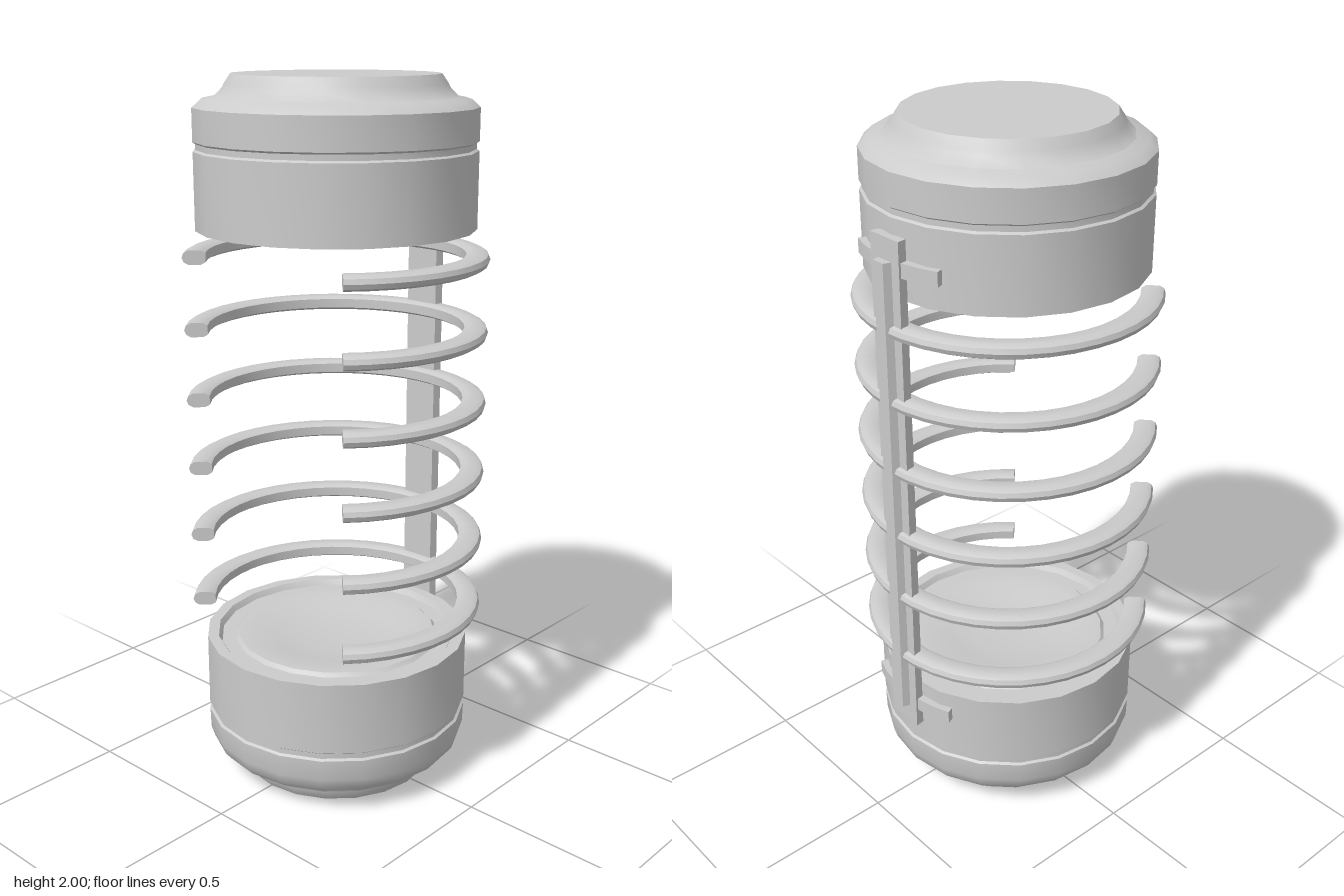
import * as THREE from 'three';
import { toCreasedNormals } from 'three/addons/utils/BufferGeometryUtils.js';

const solid = new THREE.MeshStandardMaterial({ color: 0xcccccc });
const twoSided = new THREE.MeshStandardMaterial({ color: 0xcccccc, side: THREE.DoubleSide });
const CENTRE_Z = 0.02;

const toPoints = (pairs) => pairs.map(([x, y]) => new THREE.Vector2(x, y));

function addMesh(parent, name, geometry, material = solid) {
  const mesh = new THREE.Mesh(toCreasedNormals(geometry, 0.6), material);
  mesh.name = name;
  parent.add(mesh);
  return mesh;
}

// Sweep a closed (radius, height) section along an arc centred on the back
function arcBar(name, section, halfAngle, segments) {
  const bar = new THREE.Group();
  bar.name = name;
  const points = toPoints(section);
  const start = Math.PI - halfAngle;
  const end = Math.PI + halfAngle;
  addMesh(bar, name + 'Body',
    new THREE.LatheGeometry([...points, points[0].clone()], segments, start, end - start), twoSided);
  for (const angle of [start, end]) {
    const cap = new THREE.ShapeGeometry(new THREE.Shape(points));
    cap.rotateY(angle - Math.PI / 2);
    addMesh(bar, name + 'End', cap, twoSided);
  }
  return bar;
}

// Extrude an (x, -z) section upright between two heights
function uprightBar(parent, name, section, y0, y1) {
  const geometry = new THREE.ExtrudeGeometry(new THREE.Shape(toPoints(section)),
    { depth: y1 - y0, bevelEnabled: false });
  geometry.rotateX(-Math.PI / 2);
  geometry.translate(0, y0, 0);
  return addMesh(parent, name, geometry);
}

export function createModel() {
  const model = new THREE.Group();
  model.name = 'ribbedCanister';
  const core = new THREE.Group();
  core.name = 'roundParts';
  core.position.z = CENTRE_Z;
  model.add(core);

  // Bottom cap: rounded foot, groove, and a stepped shallow dish on top
  addMesh(core, 'bottomCap', new THREE.LatheGeometry(toPoints([
    [0, 0], [0.28, 0], [0.297, 0.025], [0.3, 0.04], [0.325, 0.05], [0.335, 0.07],
    [0.355, 0.072], [0.37, 0.09], [0.38, 0.12], [0.382, 0.18],
    [0.375, 0.185], [0.375, 0.2], [0.382, 0.205], [0.382, 0.412],
    [0.35, 0.412], [0.34, 0.395], [0.3, 0.395], [0.29, 0.405], [0.245, 0.405],
    [0.18, 0.39], [0.1, 0.382], [0, 0.38],
  ]), 20));

  // Top cap: dished underside, groove, and a stepped lid
  addMesh(core, 'topCap', new THREE.LatheGeometry(toPoints([
    [0, 1.63], [0.1, 1.628], [0.18, 1.62], [0.245, 1.603], [0.29, 1.603],
    [0.3, 1.613], [0.34, 1.613], [0.35, 1.596], [0.382, 1.596],
    [0.382, 1.803], [0.375, 1.808], [0.375, 1.823], [0.382, 1.828],
    [0.382, 1.915], [0.36, 1.935], [0.325, 1.942], [0.302, 1.965],
    [0.297, 1.975], [0.28, 2], [0, 2],
  ]), 20));

  // Six open rings, each with its gap at the front
  const ringSection = [
    [0.355, -0.013], [0.368, -0.02], [0.402, -0.02], [0.415, -0.013], [0.42, 0],
    [0.415, 0.013], [0.402, 0.02], [0.368, 0.02], [0.355, 0.013],
  ];
  for (let i = 0; i < 6; i++) {
    const ring = arcBar('ring', ringSection, Math.PI * 0.75, 30);
    ring.position.y = 0.508 + i * 0.2015;
    core.add(ring);
  }

  // Curved brackets that hold the spine against the caps
  const bracketSection = [[0.372, -0.02], [0.4, -0.02], [0.4, 0.02], [0.372, 0.02]];
  for (const y of [0.345, 1.685]) {
    const bracket = arcBar('spineBracket', bracketSection, 0.41, 6);
    bracket.position.y = y;
    core.add(bracket);
  }

  // Back spine: flat strip with a narrower ridge behind it
  uprightBar(model, 'spineStrip',
    [[-0.052, 0.357], [0.052, 0.357], [0.056, 0.383], [-0.056, 0.383]], 0.27, 1.76);
  uprightBar(model, 'spineRidge',
    [[-0.027, 0.38], [0.027, 0.38], [0.019, 0.404], [-0.019, 0.404]], 0.33, 1.7);

  return model;
}
